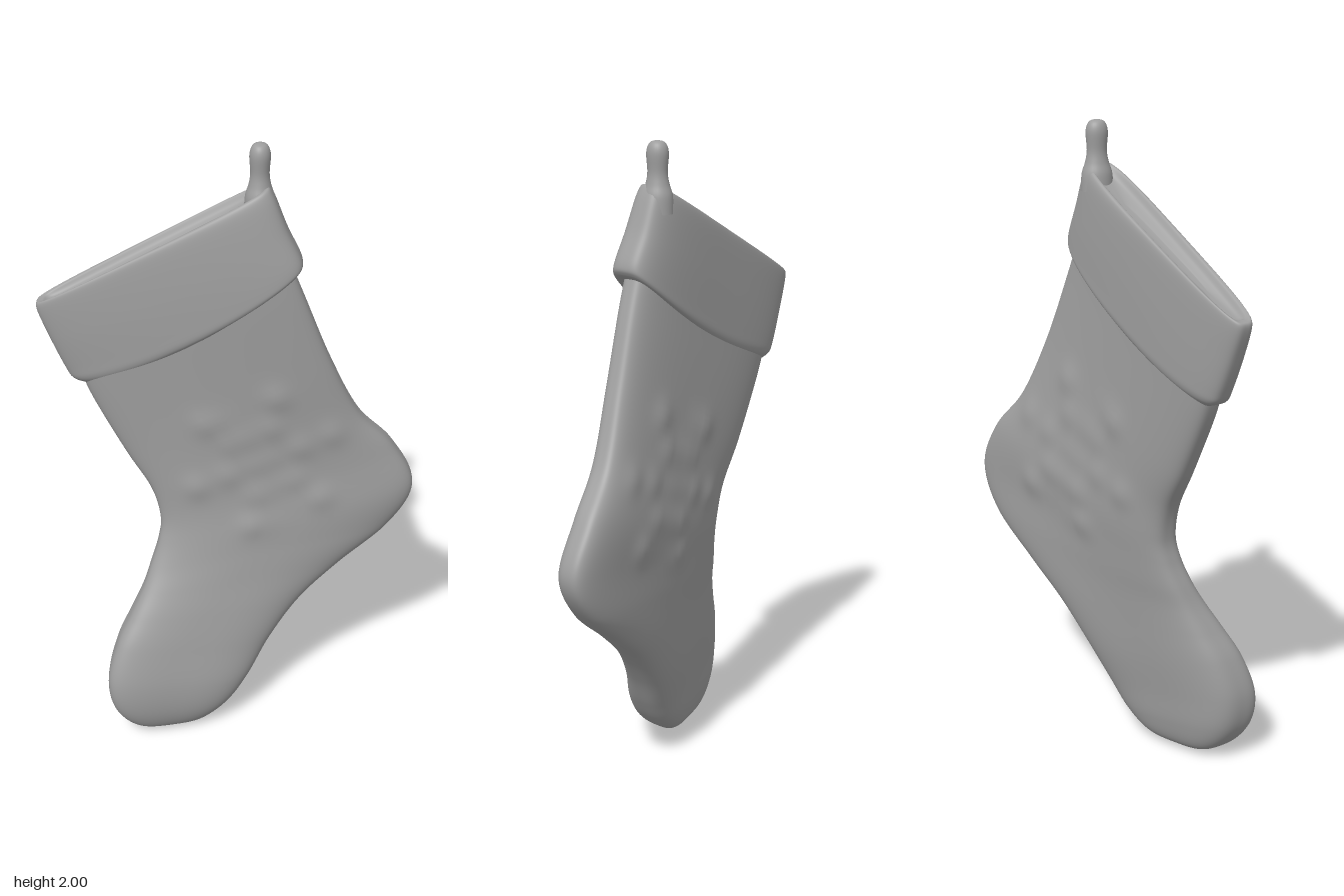
import * as THREE from 'three';

const material = new THREE.MeshStandardMaterial({ color: 0x9e9e9e });

// Loft of flattened rings. Station: [left x,y,z, right x,y,z, half thickness, downward bow]
// taper makes the left side thinner than the right
function loft(stations, { rows, sides = 150, power, taper = 0, relief = () => 0 }) {
  const curve = f => new THREE.CatmullRomCurve3(stations.map(f), false, 'catmullrom', 0.5);
  const left = curve(s => new THREE.Vector3(s[0], s[1], s[2]));
  const right = curve(s => new THREE.Vector3(s[3], s[4], s[5]));
  const size = curve(s => new THREE.Vector3(s[6], s[7] || 0, 0));
  const pos = [], index = [];
  const soft = v => Math.sign(v) * Math.abs(v) ** (2 / power);
  for (let i = 0; i <= rows; i++) {
    const l = left.getPoint(i / rows), r = right.getPoint(i / rows), s = size.getPoint(i / rows);
    for (let j = 0; j < sides; j++) {
      const a = (j + 0.5) / sides * Math.PI * 2;
      const across = soft(Math.cos(a)), out = soft(Math.sin(a));
      const p = l.clone().lerp(r, (across + 1) / 2);
      p.y -= s.y * (1 - across * across);
      p.z += out * (s.x * (1 + taper * across) + relief(p.x, p.y) * Math.abs(out));
      pos.push(p.x, p.y, p.z);
    }
  }
  for (let i = 0; i < rows; i++) for (let j = 0; j < sides; j++) {
    const k = (j + 1) % sides, a = i * sides, b = a + sides;
    index.push(a + j, a + k, b + j, a + k, b + k, b + j);
  }
  // Close both ends with fans
  for (const end of [0, 1]) {
    const c = left.getPoint(end).lerp(right.getPoint(end), 0.5);
    const n = pos.length / 3, base = end * rows * sides;
    pos.push(c.x, c.y - size.getPoint(end).y, c.z);
    for (let j = 0; j < sides; j++) {
      const k = (j + 1) % sides;
      index.push(n, base + (end ? j : k), base + (end ? k : j));
    }
  }
  const g = new THREE.BufferGeometry();
  g.setAttribute('position', new THREE.Float32BufferAttribute(pos, 3));
  g.setIndex(index);
  g.computeVertexNormals();
  return g;
}

// Low embossed ornament: a ring of six petals with small outer knobs
function ornament(x, y) {
  const bump = (cx, cy, r, h) => h * Math.exp(-((x - cx) ** 2 + (y - cy) ** 2) / (r * r));
  let h = bump(0.1, 0.97, 0.04, 0.006);
  for (let i = 0; i < 6; i++) {
    const a = (i + 0.35) / 6 * Math.PI * 2, c = Math.cos(a), s = Math.sin(a);
    h += bump(0.1 + c * 0.12, 0.97 + s * 0.12, 0.045, 0.008);
    h += bump(0.1 + c * 0.23, 0.97 + s * 0.23, 0.045, 0.01);
  }
  return h;
}

export function createModel() {
  const group = new THREE.Group();
  const add = (name, geometry) => {
    const mesh = new THREE.Mesh(geometry, material);
    mesh.name = name;
    group.add(mesh);
    return mesh;
  };

  // Leg, heel and foot, from under the cuff down to the toe
  add('stockingBody', loft([
    [-0.475, 1.31, -0.03, 0.16, 1.66, -0.045, 0.066],
    [-0.43, 1.19, -0.03, 0.215, 1.52, -0.055, 0.066],
    [-0.335, 1.00, -0.03, 0.30, 1.30, -0.08, 0.068],
    [-0.26, 0.87, -0.025, 0.395, 1.10, -0.115, 0.072],
    [-0.232, 0.76, -0.02, 0.51, 0.965, -0.147, 0.077],
    [-0.24, 0.68, -0.005, 0.583, 0.815, -0.153, 0.08],
    [-0.265, 0.60, 0.02, 0.515, 0.675, -0.147, 0.082],
    [-0.29, 0.53, 0.05, 0.36, 0.545, -0.115, 0.085],
    [-0.33, 0.45, 0.085, 0.23, 0.43, -0.075, 0.092],
    [-0.375, 0.36, 0.12, 0.13, 0.30, -0.03, 0.1],
    [-0.405, 0.24, 0.148, 0.06, 0.18, 0.015, 0.104],
    [-0.39, 0.13, 0.148, 0.00, 0.095, 0.04, 0.097],
    [-0.33, 0.045, 0.13, -0.07, 0.035, 0.06, 0.072],
    [-0.24, 0.004, 0.105, -0.14, 0.003, 0.085, 0.025],
  ], { rows: 130, power: 3.3, relief: ornament }));

  // Folded cuff: shallow mouth, rounded rim, outer band, soft turned-in hem
  add('cuff', loft([
    [-0.40, 1.575, -0.03, -0.05, 1.755, -0.05, 0.012],
    [-0.53, 1.52, -0.03, 0.06, 1.83, -0.05, 0.035],
    [-0.57, 1.52, -0.027, 0.095, 1.873, -0.05, 0.05],
    [-0.588, 1.50, -0.026, 0.118, 1.85, -0.05, 0.064],
    [-0.553, 1.40, -0.028, 0.16, 1.745, -0.046, 0.073, 0.015],
    [-0.512, 1.30, -0.032, 0.203, 1.655, -0.042, 0.076, 0.035],
    [-0.49, 1.263, -0.032, 0.2, 1.622, -0.043, 0.074, 0.045],
    [-0.45, 1.245, -0.03, 0.17, 1.60, -0.047, 0.058, 0.045],
  ], { rows: 70, power: 3.6, taper: 0.18 }));

  // Hanging loop that flares into the corner of the cuff
  const profile = new THREE.SplineCurve([
    [0.046, 1.79], [0.043, 1.84], [0.033, 1.875], [0.028, 1.91], [0.031, 1.965], [0.021, 1.993], [0, 2],
  ].map(([x, y]) => new THREE.Vector2(x, y)));
  const loop = add('hangingLoop', new THREE.LatheGeometry(profile.getPoints(36), 28));
  loop.scale.z = 1.1;
  loop.position.set(0.077, 0, -0.063);
  return group;
}
